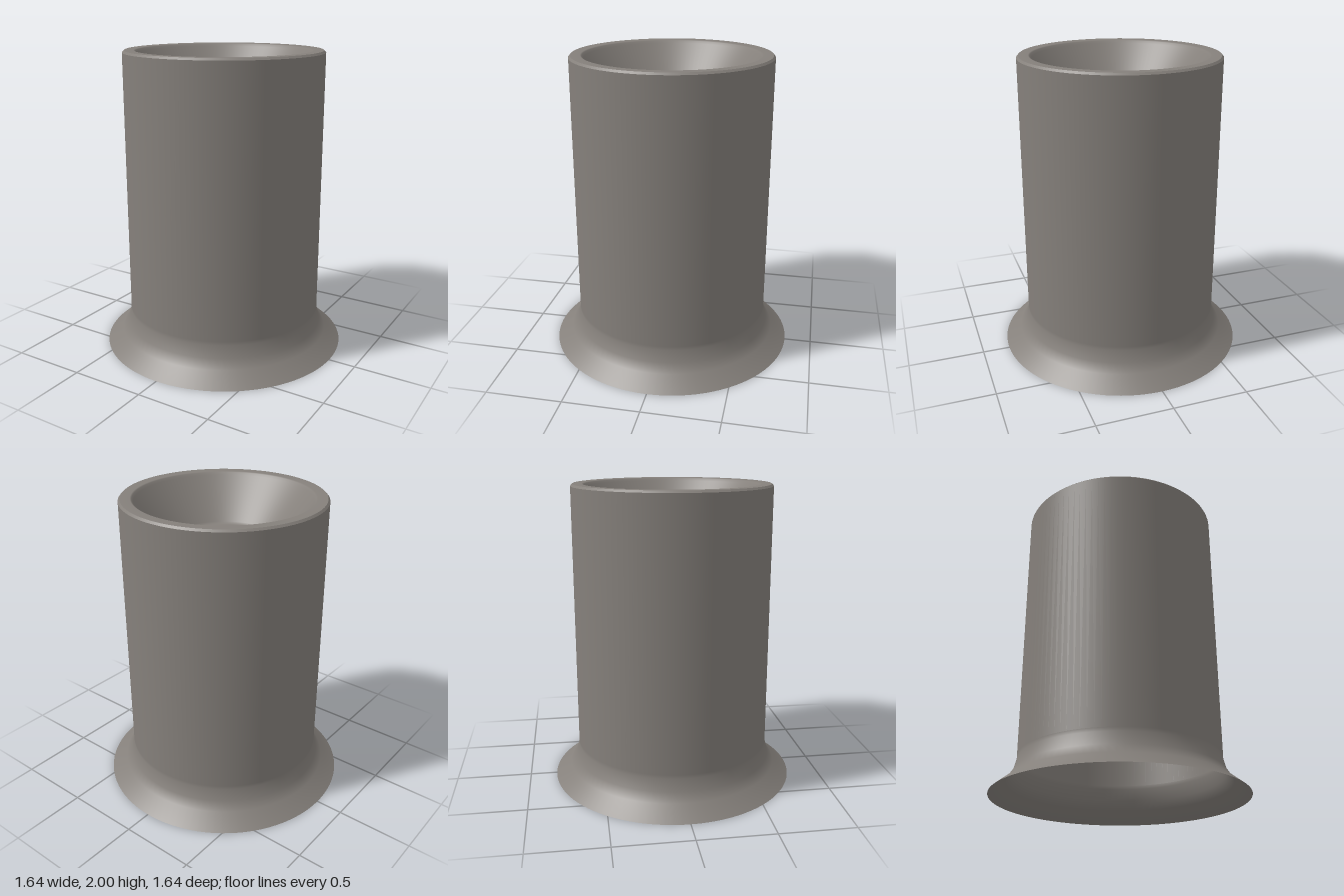
import * as THREE from 'three';

const SEGMENTS = 96;

// Revolve a short [radius, height] profile around the y axis
function turned(name, profile, material) {
  const points = profile.map(([r, y]) => new THREE.Vector2(r, y));
  const mesh = new THREE.Mesh(new THREE.LatheGeometry(points, SEGMENTS), material);
  mesh.name = name;
  return mesh;
}

export function createModel() {
  const model = new THREE.Group();
  model.name = 'flaredPedestal';

  const warmGrey = new THREE.MeshStandardMaterial({ color: 0x85807b, side: THREE.DoubleSide });
  warmGrey.name = 'warmGrey';

  model.add(
    // Open-bottomed shell: flared skirt running smoothly into the straight tube
    turned('flaredTube', [
      [0.82, 0], [0.715, 0.085], [0.675, 0.145], [0.655, 0.225], [0.655, 0.25], [0.655, 1.987],
    ], warmGrey),
    // Narrow chamfer around the top edge
    turned('rimChamfer', [[0.655, 1.987], [0.643, 2]], warmGrey),
    // Flat rim, sloping bowl and flat floor with slightly softened edges
    turned('bowl', [
      [0.643, 2], [0.58, 2], [0.57, 1.995], [0.56, 1.98],
      [0.35, 1.715], [0.34, 1.705], [0.325, 1.7], [0, 1.7],
    ], warmGrey),
  );

  return model;
}
